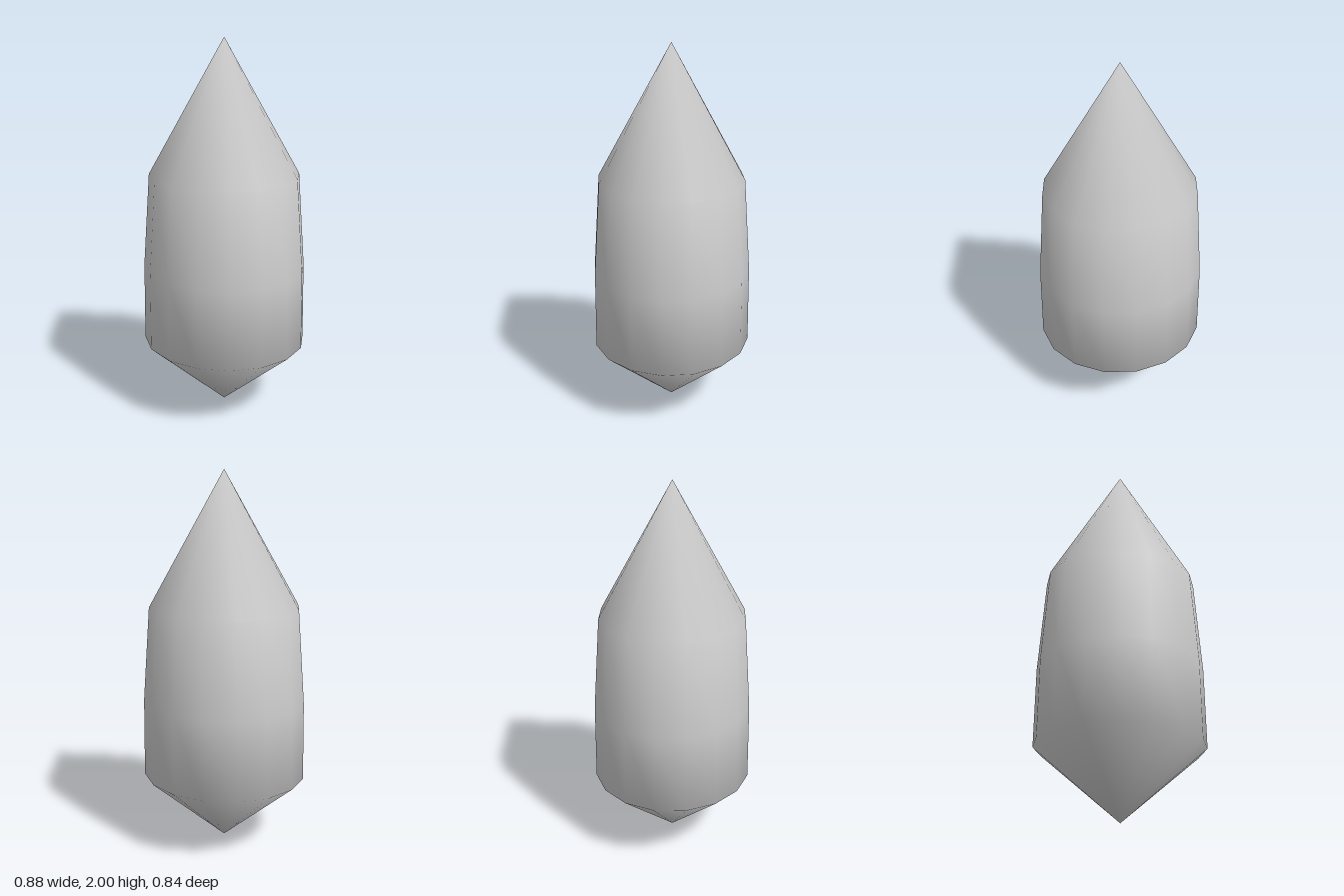
import * as THREE from 'three';
import { mergeVertices } from 'three/addons/utils/BufferGeometryUtils.js';

export function createModel() {
  const group = new THREE.Group();
  group.name = 'crystal';
  const stone = new THREE.MeshStandardMaterial({ color: 0xcccccc });
  stone.name = 'pale grey stone';

  // Profile from the lower point to the upper point
  const profile = [[0, 0], [0.442, 0.38], [0.437, 0.8], [0.4, 1.3], [0, 2]]
    .map(([r, y]) => new THREE.Vector2(r, y));

  // Sixteen sides, slightly flattened front to back
  const lathe = new THREE.LatheGeometry(profile, 16);
  lathe.scale(1, 1, 0.955);

  // Weld seam and tips so the shading is smooth over the whole body
  lathe.deleteAttribute('uv');
  lathe.deleteAttribute('normal');
  const geometry = mergeVertices(lathe, 1e-4);
  geometry.computeVertexNormals();

  const body = new THREE.Mesh(geometry, stone);
  body.name = 'crystalBody';
  group.add(body);
  return group;
}
